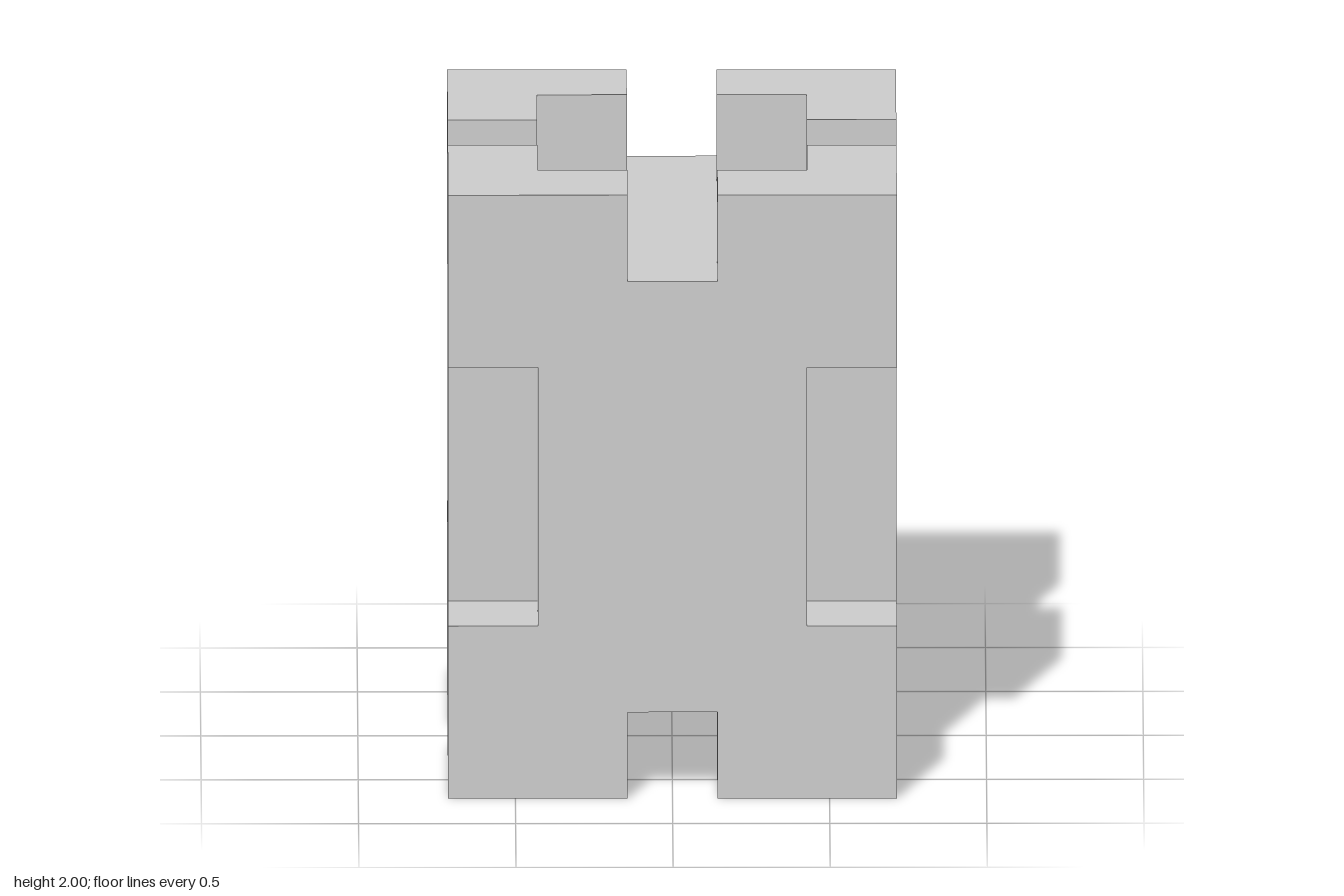
import * as THREE from 'three';

const U = 2 / 7; // the block is 5 x 7 x 5 units
const material = new THREE.MeshStandardMaterial({ color: 0xcccccc, flatShading: true });

// Extrude a plan outline (in units) upward from y = 0
function prism(points, height) {
  const shape = new THREE.Shape(points.map(([x, y]) => new THREE.Vector2(x * U, y * U)));
  const geometry = new THREE.ExtrudeGeometry(shape, { depth: height * U, bevelEnabled: false });
  return geometry.rotateX(-Math.PI / 2);
}

function addPart(parent, name, geometry) {
  const mesh = new THREE.Mesh(geometry, material);
  mesh.name = name;
  parent.add(mesh);
  return mesh;
}

export function createModel() {
  const model = new THREE.Group();
  model.name = 'notchedBlock';

  // Core: square column with its four vertical corners notched
  const core = prism([
    [1.5, -2.5], [1.5, -1.5], [2.5, -1.5], [2.5, 1.5], [1.5, 1.5], [1.5, 2.5],
    [-1.5, 2.5], [-1.5, 1.5], [-2.5, 1.5], [-2.5, -1.5], [-1.5, -1.5], [-1.5, -2.5],
  ], 5);
  addPart(model, 'core', core).position.y = U;

  // Corner pieces: an L-shaped foot plus a cube that fills the core's notch
  const foot = prism([[0.5, 1.5], [1.5, 1.5], [1.5, 0.5], [2.5, 0.5], [2.5, 2.5], [0.5, 2.5]], 1);
  const filler = new THREE.BoxGeometry(U, U, U).translate(2 * U, 1.5 * U, -2 * U);

  for (const end of ['bottom', 'top']) {
    const ring = new THREE.Group();
    ring.name = end + 'Corners';
    for (let i = 0; i < 4; i++) {
      const corner = new THREE.Group();
      corner.name = end + 'Corner';
      addPart(corner, 'cornerFoot', foot);
      addPart(corner, 'cornerFiller', filler);
      corner.rotation.y = i * Math.PI / 2;
      ring.add(corner);
    }
    // The top ring is the bottom one turned over
    if (end === 'top') {
      ring.rotation.x = Math.PI;
      ring.position.y = 7 * U;
    }
    model.add(ring);
  }
  return model;
}
